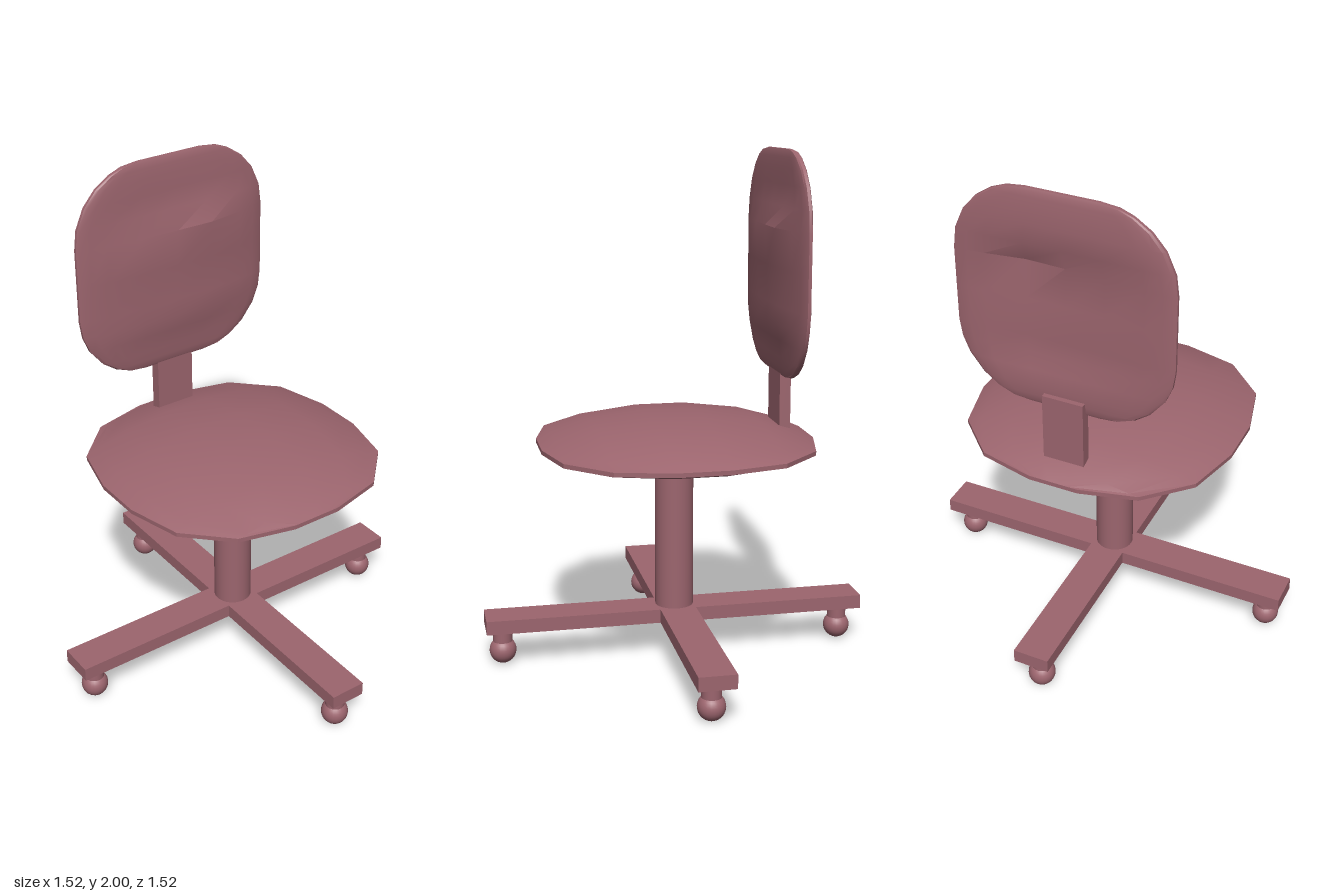
import * as THREE from 'three';
import { toCreasedNormals } from 'three/addons/utils/BufferGeometryUtils.js';

const rose = new THREE.MeshStandardMaterial({ color: 0x9c656e });
rose.name = 'dusty rose';

// Closed cushion: every row is a loop of front points then back points.
// point(row, u, side) gives [x, y, z]; side is +1 for the front, -1 for the back.
function cushion(rows, cols, point) {
  const n = cols.length, loop = 2 * n, pos = [], idx = [];
  for (const row of rows) {
    for (let c = 0; c < n; c++) pos.push(...point(row, cols[c], 1));
    for (let c = n - 1; c >= 0; c--) pos.push(...point(row, cols[c], -1));
  }
  const quad = (a, b, c, d) => idx.push(a, b, c, a, c, d);
  for (let r = 0; r < rows.length - 1; r++) {
    for (let i = 0; i < loop; i++) {
      const a = r * loop + i, b = r * loop + (i + 1) % loop;
      quad(a, b, b + loop, a + loop);
    }
  }
  // end strips
  const last = (rows.length - 1) * loop;
  for (let c = 0; c < n - 1; c++) {
    const back = loop - 1 - c;
    quad(c, back, back - 1, c + 1);
    quad(last + c, last + c + 1, last + back - 1, last + back);
  }
  const geo = new THREE.BufferGeometry();
  geo.setAttribute('position', new THREE.Float32BufferAttribute(pos, 3));
  geo.setIndex(idx);
  return toCreasedNormals(geo, 0.4);
}

// Linear interpolation through [key, value] pairs
function curve(points, k) {
  if (k <= points[0][0]) return points[0][1];
  for (let i = 1; i < points.length; i++) {
    const [k0, v0] = points[i - 1], [k1, v1] = points[i];
    if (k <= k1) return v0 + (v1 - v0) * (k - k0) / (k1 - k0);
  }
  return points[points.length - 1][1];
}

// Domed sixteen-sided seat
function seatGeometry() {
  const rows = [[-0.535, 0.1], [-0.48, 0.32], [-0.32, 0.48], [-0.1, 0.535],
    [0.1, 0.535], [0.32, 0.48], [0.48, 0.32], [0.535, 0.1]];
  const top = [[0.1, 0.98], [0.32, 0.955], [0.48, 0.91], [0.535, 0.882]];
  const bottom = [[0.1, 0.815], [0.32, 0.825], [0.48, 0.845], [0.535, 0.865]];
  const geo = cushion(rows, [-1, -0.88, -0.6, -0.2, 0.2, 0.6, 0.88, 1], ([y, w], u, side) => {
    const x = u * w;
    const m = (Math.abs(x) ** 2.5 + Math.abs(y) ** 2.5) ** 0.4;
    return [x, y, curve(side > 0 ? top : bottom, m)];
  });
  return geo.rotateX(-Math.PI / 2);
}

// Rounded backrest with a padded forward bulge
function backrestGeometry() {
  const ys = [1.135, 1.145, 1.17, 1.21, 1.28, 1.345, 1.415, 1.56, 1.71, 1.79, 1.87, 1.93, 1.97, 1.99, 2];
  const halfH = 0.4325, midY = 1.5675, halfW = 0.425, radius = 0.285;
  const bulgeY = [[1.2, 0], [1.28, 0.008], [1.345, 0.026], [1.415, 0.022], [1.71, 0.04], [1.79, 0.006], [1.87, 0]];
  const bulgeX = [[-0.425, 0], [-0.15, 0.7], [0.15, 1], [0.425, 0]];
  const cols = [-1, -0.97, -0.88, -0.72, -0.36, 0, 0.36, 0.72, 0.88, 0.97, 1];
  return cushion(ys, cols, (y, u, side) => {
    const v = Math.min(1, Math.abs(y - midY) / halfH);
    const d = Math.max(0, Math.abs(y - midY) - (halfH - radius));
    const w = halfW - radius + Math.sqrt(Math.max(0, radius * radius - d * d));
    const x = u * w;
    const edge = Math.min(1, (1 - Math.max(Math.abs(u), v)) * 4);
    const thick = 0.006 + 0.015 * Math.sqrt(edge);
    return [x, y, -0.41 + side * thick + curve(bulgeY, y) * curve(bulgeX, x)];
  });
}

// Four-armed base cut from one plate
function baseGeometry() {
  const a = 0.072, b = 0.76;
  const corners = [[a, a], [a, b], [-a, b], [-a, a], [-b, a], [-b, -a],
    [-a, -a], [-a, -b], [a, -b], [a, -a], [b, -a], [b, a]];
  const shape = new THREE.Shape(corners.map(([x, y]) => new THREE.Vector2(x, y)));
  return new THREE.ExtrudeGeometry(shape, { depth: 0.055, bevelEnabled: false })
    .rotateX(-Math.PI / 2);
}

export function createModel() {
  const model = new THREE.Group();
  model.name = 'swivelChair';
  const add = (name, geo, x = 0, y = 0, z = 0, parent = model) => {
    const mesh = new THREE.Mesh(geo, rose);
    mesh.name = name;
    mesh.position.set(x, y, z);
    parent.add(mesh);
  };

  add('seat', seatGeometry());
  add('backrest', backrestGeometry());
  add('backrestBracket', new THREE.BoxGeometry(0.164, 0.29, 0.044), -0.001, 1.045, -0.424);
  add('column', new THREE.CylinderGeometry(0.076, 0.076, 0.68, 32), -0.003, 0.485, 0.002);
  add('base', baseGeometry(), 0, 0.145, 0);

  // Ball casters under the arm ends
  const stem = new THREE.CylinderGeometry(0.038, 0.038, 0.06, 24);
  const ball = new THREE.SphereGeometry(0.053, 24, 16);
  const spots = [[0.682, 0.006], [-0.685, 0.006], [-0.007, 0.693], [-0.007, -0.685]];
  for (const [x, z] of spots) {
    const caster = new THREE.Group();
    caster.name = 'caster';
    caster.position.set(x, 0, z);
    add('casterStem', stem, 0, 0.117, 0, caster);
    add('casterBall', ball, 0, 0.053, 0, caster);
    model.add(caster);
  }
  return model;
}
